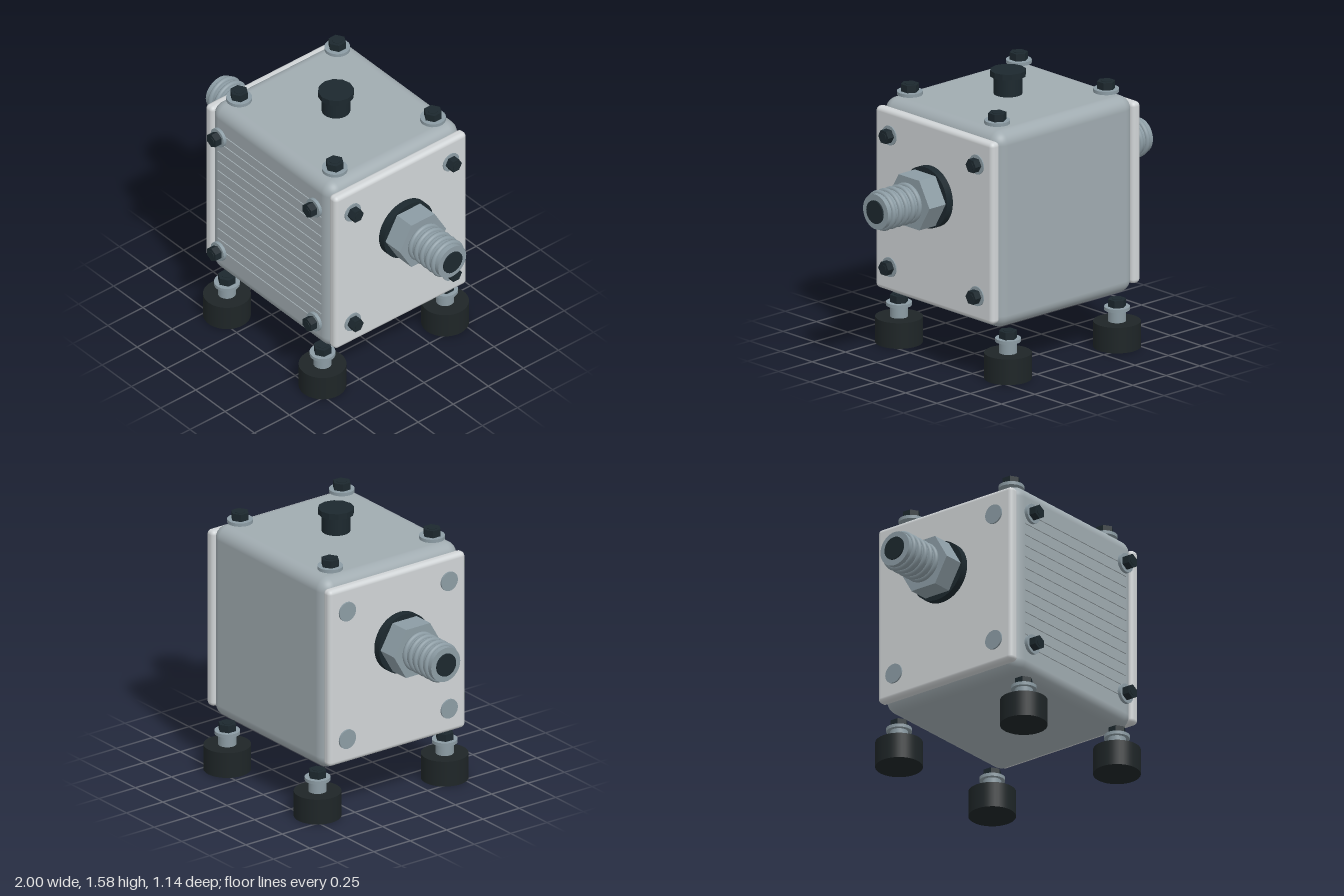
import * as THREE from 'three';
import { RoundedBoxGeometry } from 'three/addons/geometries/RoundedBoxGeometry.js';

const mat = (color, flatShading = false) => new THREE.MeshStandardMaterial({ color, flatShading });
const shell = mat(0xa0abb0), plate = mat(0xd0d4d6), steel = mat(0x8c9ca4), steelFlat = mat(0x8c9ca4, true);
const dark = mat(0x1c282e), darkFlat = mat(0x1c282e, true), rubber = mat(0x1e2527);

function add(parent, name, geometry, material, x = 0, y = 0, z = 0) {
  const mesh = new THREE.Mesh(geometry, material);
  mesh.name = name;
  mesh.position.set(x, y, z);
  parent.add(mesh);
  return mesh;
}

// cylinder standing on y0, reaching y1
function disc(parent, name, r, y0, y1, material, sides = 40) {
  return add(parent, name, new THREE.CylinderGeometry(r, r, y1 - y0, sides), material, 0, (y0 + y1) / 2, 0);
}

// washer with hex head, axis along +y
function bolt(name, washerR, headR) {
  const g = new THREE.Group();
  g.name = name;
  disc(g, 'washer', washerR, 0, 0.019, steel, 32);
  disc(g, 'hexHead', headR, 0.019, 0.061, darkFlat, 6);
  disc(g, 'headCrown', headR * 0.55, 0.061, 0.064, dark, 24);
  return g;
}

// hose connector, axis along +y, starting at the side plate
function hoseFitting(name) {
  const g = new THREE.Group();
  g.name = name;
  disc(g, 'gasket', 0.174, 0.575, 0.62, dark);
  disc(g, 'hexNut', 0.165, 0.62, 0.742, steelFlat, 6);
  disc(g, 'spigot', 0.1, 0.74, 0.992, steel);
  for (let i = 0; i < 5; i++) {
    const barb = add(g, 'barb', new THREE.TorusGeometry(0.1, 0.015, 10, 40), steel, 0, 0.758 + i * 0.048, 0);
    barb.rotation.x = Math.PI / 2;
  }
  disc(g, 'bore', 0.066, 0.98, 1, dark, 32);
  return g;
}

export function createModel() {
  const root = new THREE.Group();
  root.name = 'mountedHousing';
  const signs = [-1, 1];

  // housing and side plates
  add(root, 'housing', new RoundedBoxGeometry(1.03, 1.13, 0.945, 6, 0.075), shell, 0, 0.862, 0);
  for (const s of signs) {
    add(root, 'sidePlate', new RoundedBoxGeometry(0.063, 1.045, 0.94, 4, 0.025), plate, s * 0.527, 0.862, 0);
  }

  // fine ribs on the front
  for (let i = 0; i < 13; i++) {
    add(root, 'frontRib', new THREE.BoxGeometry(0.88, 0.006, 0.012), shell, 0, 0.462 + i * 0.0667, 0.472);
  }

  for (const sx of signs) {
    for (const s of signs) {
      // lid bolts
      const top = bolt('lidBolt', 0.071, 0.051);
      top.position.set(sx * 0.408, 1.446, s * 0.35);
      root.add(top);

      // front bolts
      const front = bolt('frontBolt', 0.056, 0.042);
      front.rotation.x = Math.PI / 2;
      front.position.set(sx * 0.408, 0.862 + s * 0.394, 0.487);
      root.add(front);

      // side bolts, heads all pointing to +x
      for (const sz of signs) {
        const side = bolt('sideBolt', 0.056, 0.041);
        side.rotation.z = -Math.PI / 2;
        side.position.set(sx > 0 ? 0.546 : -0.568, 0.862 + s * 0.379, sz * 0.35);
        if (s > 0 || sz) root.add(side);
      }

      // rubber feet with threaded stems
      const foot = new THREE.Group();
      foot.name = 'foot';
      disc(foot, 'rubberPad', 0.131, 0, 0.147, rubber);
      disc(foot, 'stem', 0.05, 0.147, 0.214, steel, 32);
      const cap = bolt('footBolt', 0.071, 0.051);
      cap.position.y = 0.212;
      foot.add(cap);
      foot.position.set(sx * 0.408, 0, s * 0.437);
      root.add(foot);
    }

    // hose connectors
    const fitting = hoseFitting('hoseFitting');
    fitting.rotation.z = -sx * Math.PI / 2;
    fitting.position.y = 0.98;
    root.add(fitting);
  }

  // knob on the lid
  const knob = new THREE.Group();
  knob.name = 'knob';
  disc(knob, 'knobStem', 0.079, 1.443, 1.546, dark, 24);
  disc(knob, 'knobCap', 0.1, 1.546, 1.58, darkFlat, 12);
  root.add(knob);

  return root;
}
